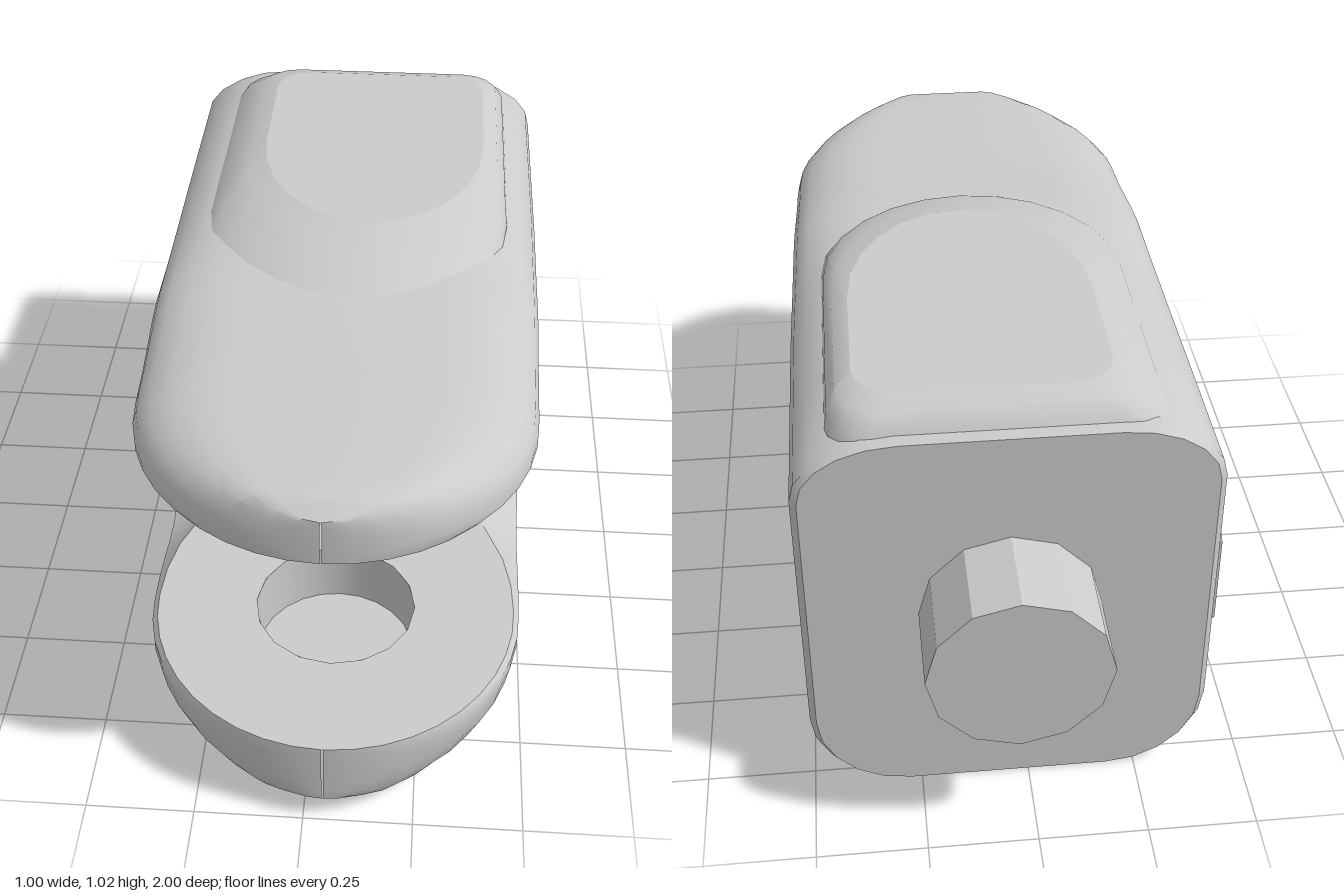
import * as THREE from 'three';
import { toCreasedNormals } from 'three/addons/utils/BufferGeometryUtils.js';

const CX = 0.045; // centre line of the fork body
const PIN_Z = 0.56; // centre of the rounded arm ends
const TIP_R = 0.44;
const HOLE_R = 0.19;

const material = new THREE.MeshStandardMaterial({ color: 0xcccccc });
const innerMaterial = new THREE.MeshStandardMaterial({ color: 0xcccccc, side: THREE.DoubleSide });

function add(parent, name, geometry, mat = material) {
  const mesh = new THREE.Mesh(geometry, mat);
  mesh.name = name;
  parent.add(mesh);
  return mesh;
}

// Piecewise linear lookup in [[z, value], ...]
function lookup(keys, z) {
  if (z <= keys[0][0]) return keys[0][1];
  for (let i = 1; i < keys.length; i++) {
    const [z0, v0] = keys[i - 1], [z1, v1] = keys[i];
    if (z <= z1) return v0 + (v1 - v0) * (z - z0) / (z1 - z0);
  }
  return keys[keys.length - 1][1];
}

// Skin over rows of [x, y, z] points
function loft(rows, closed = false, crease = 0.6) {
  const n = rows[0].length, index = [];
  for (let i = 0; i < rows.length - 1; i++) {
    for (let j = 0; j < (closed ? n : n - 1); j++) {
      const k = (j + 1) % n;
      const a = i * n + j, b = i * n + k, c = b + n, d = a + n;
      index.push(a, b, c, a, c, d);
    }
  }
  const g = new THREE.BufferGeometry();
  g.setAttribute('position', new THREE.Float32BufferAttribute(rows.flat(2), 3));
  g.setIndex(index);
  return toCreasedNormals(g, crease);
}

// Flat horizontal face from [x, z] points
function flatFace(points, y, up, holeRadius = 0) {
  const s = up ? -1 : 1;
  const shape = new THREE.Shape(points.map(([x, z]) => new THREE.Vector2(x, s * z)));
  if (holeRadius) shape.holes.push(new THREE.Path().absarc(CX, s * PIN_Z, holeRadius, 0, Math.PI * 2, true));
  return new THREE.ShapeGeometry(shape, 8).rotateX(s * Math.PI / 2).translate(0, y, 0);
}

// Stations along the arms, closer together round the tip
const stations = [-0.79, -0.775, -0.5, -0.2, -0.08, 0.04, 0.14, 0.22, 0.3, 0.38, 0.47];
for (let i = 0; i <= 10; i++) stations.push(PIN_Z + TIP_R * Math.sin(i / 10 * Math.PI / 2));

const sideWidth = [[-0.79, 0.44], [-0.775, 0.455], [-0.2, 0.455], [PIN_Z, TIP_R]];
const halfWidth = z => z <= PIN_Z ? lookup(sideWidth, z)
  : Math.max(0.002, Math.sqrt(Math.max(0, TIP_R ** 2 - (z - PIN_Z) ** 2)));
// Scooped neck between the round end and the body
const neck = [[-0.2, 1], [-0.08, 0.9], [0.1, 0.77], [0.22, 0.76], [0.38, 0.91], [0.5, 0.97], [1, 0.97]];
const scoop = [[-0.2, 0], [0.04, 0.035], [0.25, 0.075], [0.38, 0.04], [0.5, 0.015], [1, 0.015]];

// One arm: the inner face is flat, the outer face has rounded corners
function armRows(inner, outerKeys, sign, scoopScale, cornerHeight) {
  return stations.map(z => {
    const w = halfWidth(z), outer = lookup(outerKeys, z);
    const edge = inner + sign * lookup(scoop, z) * scoopScale;
    const rx = w * 0.48, ry = Math.min(cornerHeight, Math.abs(outer - edge) * 0.85);
    const half = [[w * lookup(neck, z), inner], [w, edge]];
    for (let k = 0; k <= 5; k++) {
      const t = k / 5 * Math.PI / 2;
      half.push([w - rx * (1 - Math.cos(t)), outer - sign * ry * (1 - Math.sin(t))]);
    }
    const right = half.map(([x, y]) => [CX + x, y, z]);
    const left = half.map(([x, y]) => [CX - x, y, z]);
    return sign < 0 ? [...left, ...right.reverse()] : [...right, ...left.reverse()];
  });
}

function innerOutline(rows) {
  const a = rows.map(r => [r[0][0], r[0][2]]);
  const b = rows.map(r => [r[r.length - 1][0], r[r.length - 1][2]]);
  return [...a, ...b.reverse()];
}

// Plan outline of the raised pad: square at the back, round at the front
function padRow(y, x0, x1, zBack, zFront) {
  const c = (x0 + x1) / 2, w = (x1 - x0) / 2, r = 0.09, row = [];
  const arc = (ox, oz, rx, rz, t0, steps) => {
    for (let i = 0; i <= steps; i++) {
      const t = t0 - i / steps * Math.PI / 2;
      row.push([ox + rx * Math.cos(t), y, oz + rz * Math.sin(t)]);
    }
  };
  const zs = zFront - 0.38;
  arc(c, zs, w, 0.38, Math.PI, 6);
  arc(c, zs, w, 0.38, Math.PI / 2, 6);
  arc(x1 - r, zBack + r, r, r, 0, 4);
  arc(x0 + r, zBack + r, r, r, -Math.PI / 2, 4);
  return row;
}

export function createModel() {
  const model = new THREE.Group();
  model.name = 'forkJoint';

  // Lower arm with a blind pin hole
  const lower = armRows(0.245, [[-0.79, 0], [0, 0.012], [0.85, 0.03], [0.95, 0.045], [1, 0.075]], -1, 1, 0.2);
  add(model, 'lowerArm', loft(lower));
  add(model, 'lowerArmTop', flatFace(innerOutline(lower), 0.245, true, HOLE_R));
  add(model, 'pinHoleWall', new THREE.CylinderGeometry(HOLE_R, HOLE_R, 0.16, 24, 1, true)
    .translate(CX, 0.165, PIN_Z), innerMaterial);
  add(model, 'pinHoleFloor', new THREE.CircleGeometry(HOLE_R, 24).rotateX(-Math.PI / 2).translate(CX, 0.085, PIN_Z));

  // Upper arm
  const upper = armRows(0.81, [[-0.79, 0.97], [-0.7, 0.975], [0.2, 0.96], [0.45, 0.947], [0.95, 0.945], [1, 0.92]], 1, 0.65, 0.15);
  add(model, 'upperArm', loft(upper));
  add(model, 'upperArmUnderside', flatFace(innerOutline(upper), 0.81, false));

  // Raised pad on top
  const padRows = [
    padRow(0.94, -0.31, 0.42, -0.765, 0.32),
    padRow(0.975, -0.285, 0.415, -0.755, 0.25),
    padRow(1.01, -0.23, 0.395, -0.725, 0.13),
    padRow(1.025, -0.19, 0.36, -0.68, 0.08),
  ];
  add(model, 'topPad', loft(padRows, true, 0.7));
  add(model, 'topPadFace', flatFace(padRows[3].map(p => [p[0], p[2]]), 1.025, true));

  // Body between the arms, with a bowed front wall
  const wall = [[-0.44, -0.79], [-0.455, -0.775], [-0.455, -0.2], [-0.32, -0.1], [-0.185, 0],
    [-0.02, 0.03], [0.105, 0.02], [0.29, -0.08], [0.455, -0.2], [0.455, -0.775], [0.44, -0.79]];
  const bodyRows = [[0.24, 0.04], [0.262, 0.014], [0.29, 0], [0.77, 0], [0.795, 0.014], [0.815, 0.03]]
    .map(([y, flare]) => wall.map(([x, z]) => [CX + x, y, z > -0.19 ? z + flare : z]));
  add(model, 'body', loft(bodyRows, false, 0.35));

  // Flat back
  const outline = [...lower[0], ...upper[0]].map(p => new THREE.Vector2(-p[0], p[1]));
  add(model, 'backFace', new THREE.ShapeGeometry(new THREE.Shape(outline)).rotateY(Math.PI).translate(0, 0, -0.79));

  // Mounting shaft
  add(model, 'shaft', toCreasedNormals(new THREE.CylinderGeometry(0.2, 0.2, 0.24, 12), 0.4)
    .rotateX(Math.PI / 2).translate(CX, 0.515, -0.88));

  // Fittings on the right side wall
  const plate = (name, z, y, depth, height, face, cut) => {
    const a = depth / 2, b = height / 2;
    const shape = new THREE.Shape([[-a + cut, -b], [a - cut, -b], [a, -b + cut], [a, b - cut],
      [a - cut, b], [-a + cut, b], [-a, b - cut], [-a, -b + cut]].map(p => new THREE.Vector2(...p)));
    const thick = -0.4 - face;
    add(model, name, new THREE.ExtrudeGeometry(shape, { depth: thick, bevelEnabled: false })
      .rotateY(-Math.PI / 2).translate(-0.4, y, z));
  };
  const stud = (name, z, y, r, face, sides) =>
    add(model, name, toCreasedNormals(new THREE.CylinderGeometry(r, r, -0.4 - face, sides), 0.4)
      .rotateZ(Math.PI / 2).translate((face - 0.4) / 2, y, z));

  plate('narrowPanel', -0.73, 0.53, 0.07, 0.27, -0.418, 0.025);
  plate('screwPanel', -0.575, 0.42, 0.18, 0.47, -0.419, 0.025);
  for (const [z, y] of [[-0.615, 0.525], [-0.53, 0.525], [-0.615, 0.43], [-0.53, 0.43], [-0.572, 0.225]]) {
    stud('panelScrew', z, y, 0.034, -0.446, 8);
  }
  plate('connectorPlate', -0.285, 0.375, 0.22, 0.25, -0.435, 0.03);
  for (const dz of [-0.09, 0.09]) {
    for (const dy of [-0.09, 0.09]) stud('connectorBolt', -0.285 + dz, 0.375 + dy, 0.028, -0.468, 6);
  }
  stud('connectorKnob', -0.285, 0.375, 0.075, -0.505, 8);

  return model;
}
